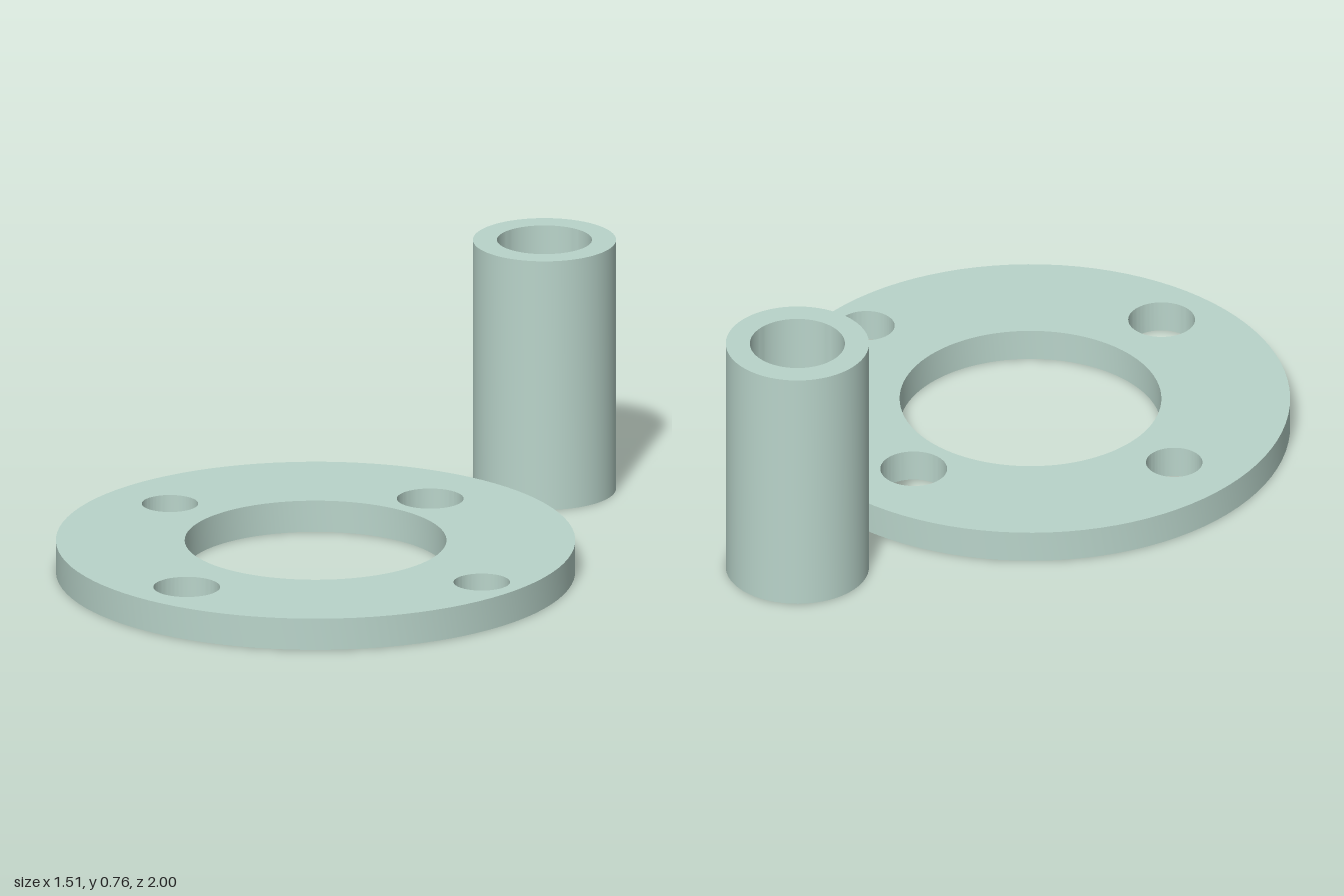
import * as THREE from 'three';
import { toCreasedNormals } from 'three/addons/utils/BufferGeometryUtils.js';

const material = new THREE.MeshStandardMaterial({ color: 0xb9d4ca });

// Upright round plate or tube; holes are [x, z, radius] relative to its axis.
function drilledDisc(name, radius, height, z, holes) {
  const shape = new THREE.Shape().absarc(0, 0, radius, 0, Math.PI * 2);
  for (const [hx, hz, r] of holes) {
    shape.holes.push(new THREE.Path().absarc(hx, -hz, r, 0, Math.PI * 2, true));
  }
  const geometry = new THREE.ExtrudeGeometry(shape, {
    depth: height, bevelEnabled: false, curveSegments: 48,
  });
  geometry.rotateX(-Math.PI / 2);
  const mesh = new THREE.Mesh(toCreasedNormals(geometry, Math.PI / 6), material);
  mesh.name = name;
  mesh.position.z = z;
  return mesh;
}

export function createModel() {
  const model = new THREE.Group();
  model.name = 'flangeAndSleeve';

  // Flat ring with a central bore and four bolt holes
  model.add(drilledDisc('flange', 0.754, 0.095, 0.246, [
    [0, 0, 0.38],
    [-0.55, 0, 0.082],
    [0.628, 0, 0.082],
    [0, -0.52, 0.097],
    [0, 0.584, 0.097],
  ]));

  // Hollow sleeve standing behind the flange
  model.add(drilledDisc('sleeve', 0.208, 0.757, -0.792, [[0, 0, 0.138]]));

  return model;
}
